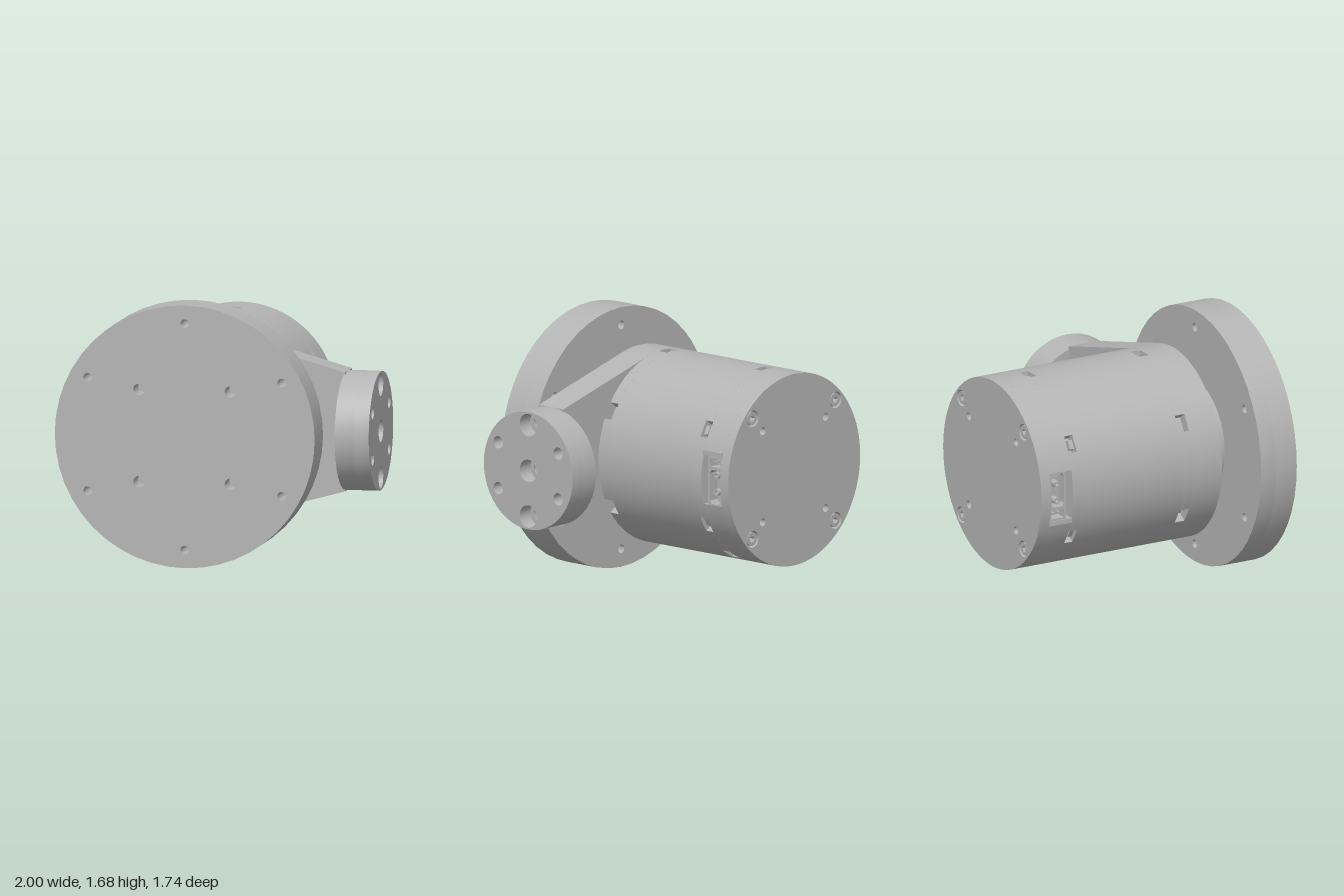
import * as THREE from 'three';
import { toCreasedNormals } from 'three/addons/utils/BufferGeometryUtils.js';

const AXIS_X = -0.16, AXIS_Y = 0.84, R = 0.62;
const DEG = Math.PI / 180;
const metal = new THREE.MeshStandardMaterial({ color: 0xb4b4b4 });
metal.name = 'plain grey metal';

// Points along an arc centred on the origin
function arc(r, a, b, n) {
  return Array.from({ length: n + 1 }, (_, i) => {
    const t = a + (b - a) * i / n;
    return new THREE.Vector2(r * Math.cos(t), r * Math.sin(t));
  });
}

// Disc outline with round holes given as [x, y, radius]
function disc(r, holes = [], n = 72) {
  const shape = new THREE.Shape(arc(r, 0, 2 * Math.PI, n).slice(0, -1));
  for (const [x, y, hr] of holes) shape.holes.push(new THREE.Path().absarc(x, y, hr, 0, 2 * Math.PI, true));
  return shape;
}

function rect(x0, y0, x1, y1, Type = THREE.Shape) {
  return new Type([[x0, y0], [x1, y0], [x1, y1], [x0, y1]].map(p => new THREE.Vector2(...p)));
}

function slab(shape, z0, z1) {
  const g = new THREE.ExtrudeGeometry(shape, { depth: z1 - z0, bevelEnabled: false, curveSegments: 10 });
  return toCreasedNormals(g.translate(0, 0, z0), 0.55);
}

function add(parent, name, geometry) {
  const mesh = new THREE.Mesh(geometry, metal);
  mesh.name = name;
  parent.add(mesh);
  return mesh;
}

// Slab along z, or along x (shape x then means -z)
const addZ = (parent, name, shape, z0, z1) => add(parent, name, slab(shape, z0, z1));
const addX = (parent, name, shape, x0, x1) => add(parent, name, slab(shape, x0, x1).rotateY(Math.PI / 2));

// Cylinder outline with shallow notches centred on the given angles
function notched(angles) {
  const w = 0.089, pts = [];
  angles.forEach((deg, i) => {
    const c = deg * DEG;
    const next = (i + 1 < angles.length ? angles[i + 1] : angles[0] + 360) * DEG;
    pts.push(...arc(0.555, c - w, c + w, 3), ...arc(R, c + w, next - w, 12));
  });
  return new THREE.Shape(pts);
}

const square = (d, r) => [[d, d, r], [-d, d, r], [-d, -d, r], [d, -d, r]];
const ring = (radius, r, start, step) => {
  const out = [];
  for (let a = start; a < start + 360; a += step) out.push([radius * Math.cos(a * DEG), radius * Math.sin(a * DEG), r]);
  return out;
};

function buildMountingDisc(parent) {
  const through = ring(0.724, 0.028, 30, 60);
  addZ(parent, 'mountingDiscBack', disc(0.84, through, 48), 0.61, 0.72);
  addZ(parent, 'mountingDiscFront', disc(0.84, [...through, ...square(0.295, 0.037)], 48), 0.72, 0.87);
  addZ(parent, 'hub', disc(0.38), 0.45, 0.61);
}

function buildBody(parent) {
  const rear = [30, 90, 150, 210, 270, 300, 330], front = [30, 90, 150, 210, 270, 330];
  addZ(parent, 'frontNotchBand', notched(front), 0.17, 0.24);
  addZ(parent, 'housing', disc(R), -0.58, 0.17);
  addZ(parent, 'rearNotchBand', notched(rear), -0.64, -0.58);

  // Latches sitting inside the rear notches
  for (const deg of rear) {
    const latch = add(parent, 'latch', new THREE.BoxGeometry(0.04, 0.06, 0.03));
    latch.position.set(0.575 * Math.cos(deg * DEG), 0.575 * Math.sin(deg * DEG), -0.595);
    latch.rotation.z = deg * DEG;
  }

  // Two wall halves leaving a port opening on each side
  for (const turn of [0, Math.PI]) {
    const at = (r, y) => Math.asin(y / r);
    const outer = arc(R, at(R, 0.19), Math.PI - at(R, -0.16) * -1 - 2 * at(R, 0.16), 30);
    const inner = arc(0.48, Math.PI - at(0.48, 0.16), at(0.48, 0.19), 30);
    outer.splice(0, outer.length, ...arc(R, at(R, 0.19), Math.PI - at(R, 0.16), 30));
    addZ(parent, 'portWall', new THREE.Shape([...outer, ...inner]), -0.8, -0.64).rotation.z = turn;
  }

  // Rear cover with four socket screws and four small holes
  addZ(parent, 'rearCoverInner', disc(R), -0.82, -0.8);
  addZ(parent, 'rearCover', disc(R, [...square(0.39, 0.054), ...square(0.295, 0.026)]), -0.87, -0.82);
  for (const [x, y] of square(0.39, 0)) {
    const head = disc(0.044, [], 24);
    head.holes.push(new THREE.Path(arc(0.022, 0, 2 * Math.PI, 6).slice(0, -1)));
    addZ(parent, 'screwHead', head, -0.865, -0.82).position.set(x, y, 0);
  }
}

// Plug sockets in one side opening
function buildPort(parent, turn) {
  const port = new THREE.Group();
  port.name = 'connectorPort';
  port.rotation.z = turn;
  parent.add(port);
  addX(port, 'portTopPlate', rect(0.64, 0.16, 0.8, 0.19), 0.48, 0.605);
  const face = rect(0.68, -0.16, 0.8, 0.16);
  face.holes.push(rect(0.695, 0.09, 0.785, 0.145, THREE.Path));
  face.holes.push(new THREE.Path([[0.71, -0.15], [0.77, -0.15], [0.785, -0.13], [0.785, 0.05], [0.77, 0.07],
    [0.71, 0.07], [0.695, 0.05], [0.695, -0.13]].map(p => new THREE.Vector2(...p))));
  addX(port, 'connectorShell', face, 0.53, 0.6);
  addX(port, 'connectorBase', rect(0.68, -0.16, 0.8, 0.16), 0.48, 0.53);
  // Round contacts below, two small pins above
  for (const y of [0.035, -0.075]) {
    const contact = addX(port, 'roundContact', disc(0.022, [[0, 0, 0.011]], 20), 0.53, 0.585);
    contact.position.set(0, y, -0.735);
  }
  for (const z of [-0.72, -0.76]) {
    add(port, 'smallPin', new THREE.BoxGeometry(0.05, 0.012, 0.012)).position.set(0.555, 0.118, z);
  }
}

function buildArm(parent) {
  // Plate tangent to the housing, tapering to the side disc
  const tangent = 74.7 * DEG;
  const outline = arc(R, tangent, 2 * Math.PI - tangent, 44);
  outline.push(new THREE.Vector2(0.95, -0.38), new THREE.Vector2(0.95, 0.38));
  addZ(parent, 'armPlate', new THREE.Shape(outline), 0.24, 0.45);

  // Side disc with counterbored holes in a column and four plain holes
  const side = new THREE.Group();
  side.name = 'sideDisc';
  side.position.z = 0.35;
  parent.add(side);
  const plain = ring(0.296, 0.04, 30, 60).filter(h => Math.abs(h[0]) > 0.1);
  const column = r => [-0.296, 0, 0.296].map(y => [0, y, r]);
  addX(side, 'sideDiscInner', disc(0.38, [...plain, ...column(0.042)], 48), 0.94, 1.06);
  addX(side, 'sideDiscOuter', disc(0.38, [...plain, ...column(0.073)], 48), 1.06, 1.16);
}

export function createModel() {
  const model = new THREE.Group();
  model.name = 'actuatorAssembly';
  // Everything is built around the main axis
  const assembly = new THREE.Group();
  assembly.name = 'assembly';
  assembly.position.set(AXIS_X, AXIS_Y, 0);
  model.add(assembly);
  buildMountingDisc(assembly);
  buildBody(assembly);
  for (const turn of [0, Math.PI]) buildPort(assembly, turn);
  buildArm(assembly);
  return model;
}
